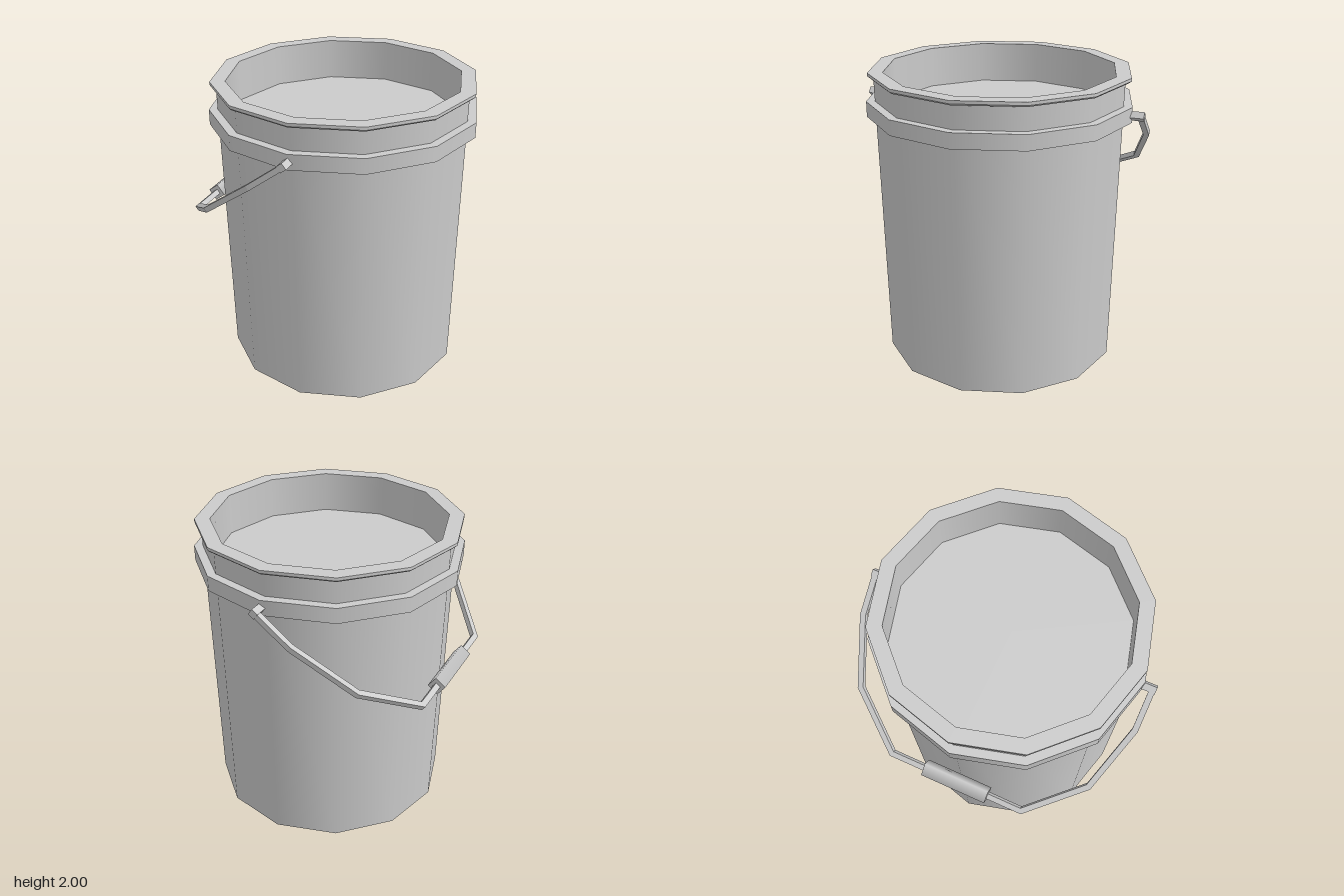
import * as THREE from 'three';
import { mergeGeometries } from 'three/addons/utils/BufferGeometryUtils.js';

const SIDES = 12;
const AXIS_X = 0.026;
const grey = new THREE.MeshStandardMaterial({ color: 0xcccccc });

// Turned part: smooth around the axis, sharp between profile segments
function turned(name, profile) {
  const bands = [];
  for (let i = 0; i < profile.length - 1; i++) {
    const pair = [profile[i], profile[i + 1]].map(([r, y]) => new THREE.Vector2(r, y));
    bands.push(new THREE.LatheGeometry(pair, SIDES));
  }
  const mesh = new THREE.Mesh(mergeGeometries(bands), grey);
  mesh.name = name;
  mesh.position.x = AXIS_X;
  return mesh;
}

// Flat strip outline following a path, with mitred corners
function stripShape(path, half) {
  const pts = path.map(([x, y]) => new THREE.Vector2(x, y));
  const normalOf = (a, b) => new THREE.Vector2(a.y - b.y, b.x - a.x).normalize();
  const left = [], right = [];
  pts.forEach((p, i) => {
    const n0 = normalOf(pts[Math.max(i - 1, 0)], pts[Math.max(i, 1)]);
    const last = pts.length - 1;
    const n1 = normalOf(pts[Math.min(i, last - 1)], pts[Math.min(i + 1, last)]);
    const miter = n0.clone().add(n1).normalize();
    const d = half / miter.dot(n0);
    left.push(p.clone().addScaledVector(miter, d));
    right.push(p.clone().addScaledVector(miter, -d));
  });
  return new THREE.Shape([...left, ...right.reverse()]);
}

function createHandle() {
  const handle = new THREE.Group();
  handle.name = 'handle';

  // Bent wire, in the plane of the handle
  const half = [[0.02, 0.947], [-0.288, 0.947], [-0.76, 0.817], [-1.11, 0.472]];
  const path = [...half, ...half.map(([u, z]) => [u, -z]).reverse()];
  const thick = 0.036;
  const wireGeo = new THREE.ExtrudeGeometry(stripShape(path, 0.019), { depth: thick, bevelEnabled: false });
  wireGeo.translate(0, 0, -thick / 2).rotateX(Math.PI / 2);
  const wire = new THREE.Mesh(wireGeo, grey);
  wire.name = 'handleWire';
  handle.add(wire);

  // Square hand grip with softened shading
  const gripGeo = new THREE.CylinderGeometry(0.06, 0.06, 0.46, 4);
  gripGeo.rotateY(Math.PI / 4).rotateX(Math.PI / 2);
  const grip = new THREE.Mesh(gripGeo, grey);
  grip.name = 'grip';
  grip.position.x = -1.11;
  handle.add(grip);

  // Pivot pins running into the collar
  for (const side of [1, -1]) {
    const pin = new THREE.Mesh(new THREE.BoxGeometry(0.046, 0.046, 0.14), grey);
    pin.name = side > 0 ? 'frontPin' : 'backPin';
    pin.position.z = side * 0.9;
    handle.add(pin);
  }

  handle.position.set(AXIS_X, 1.757, 0);
  handle.rotation.z = 0.645;
  return handle;
}

export function createModel() {
  const bucket = new THREE.Group();
  bucket.name = 'bucket';

  // Tapered wall with closed base, and the recessed floor inside
  bucket.add(turned('body', [[0, 0], [0.8, 0], [0.836, 1.98]]));
  bucket.add(turned('inside', [[0.775, 2], [0.775, 1.725], [0, 1.725]]));

  // Rim lip with a small chamfer under it
  bucket.add(turned('rim', [[0.83, 1.965], [0.862, 1.968], [0.875, 1.98], [0.875, 2], [0.775, 2]]));

  // Raised collar
  bucket.add(turned('collar', [[0.82, 1.71], [0.89, 1.71], [0.89, 1.812], [0.82, 1.812]]));

  bucket.add(createHandle());
  return bucket;
}
